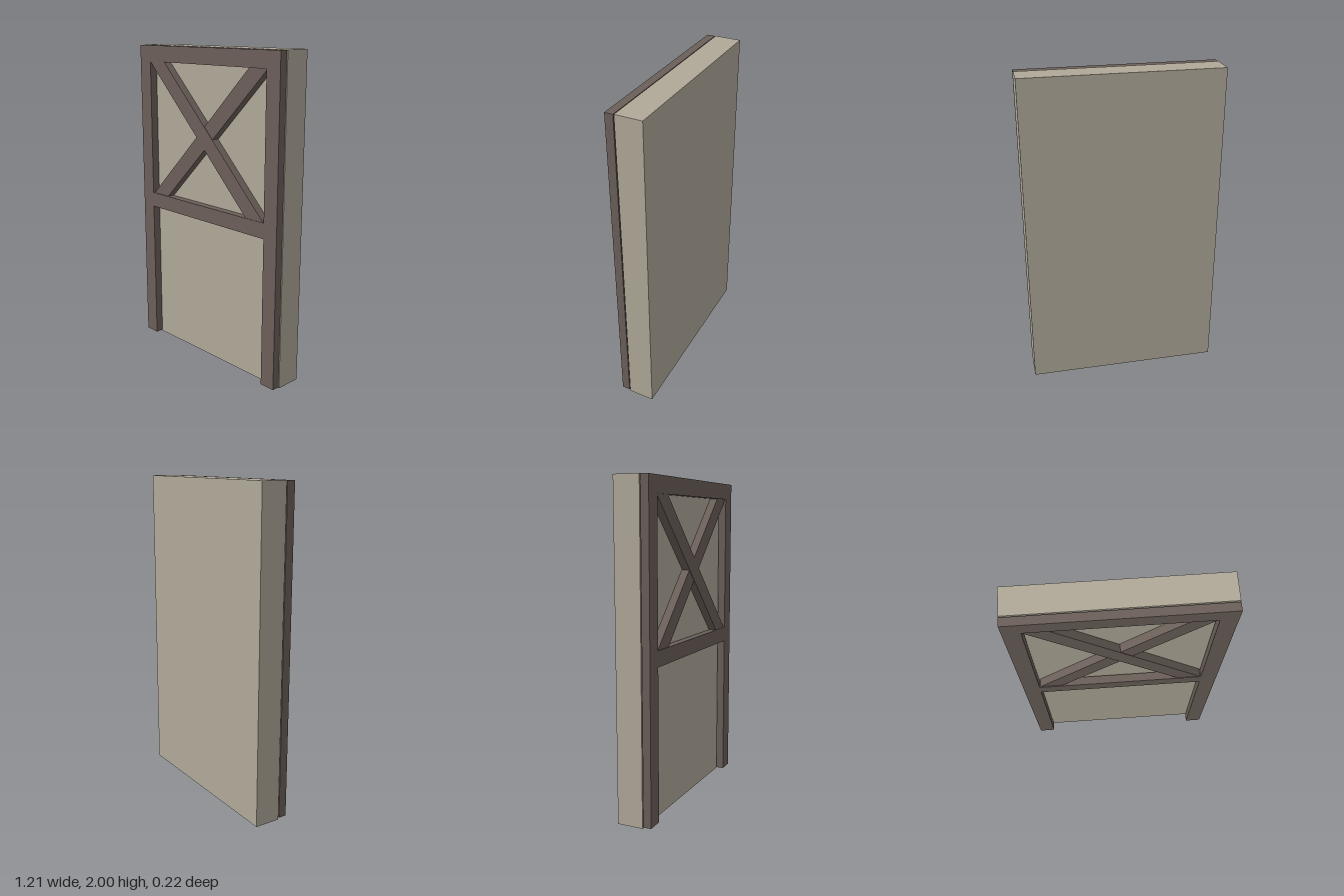
import * as THREE from 'three';

export function createModel() {
  const group = new THREE.Group();
  const plaster = new THREE.MeshStandardMaterial({ color: 0xb0a999 });
  plaster.name = 'plaster';
  const timber = new THREE.MeshStandardMaterial({ color: 0x6b5f59 });
  timber.name = 'darkTimber';

  // Box given by its size and centre
  const addBox = (name, material, [w, h, d], [x, y, z], tilt = 0) => {
    const mesh = new THREE.Mesh(new THREE.BoxGeometry(w, h, d), material);
    mesh.name = name;
    mesh.position.set(x, y, z);
    mesh.rotation.z = tilt;
    group.add(mesh);
  };

  const width = 1.21, beam = 0.1, depth = 0.05, frameZ = 0.084;

  // Wall slab
  addBox('wallPanel', plaster, [width, 2, 0.162], [0, 1, -0.028]);

  // Frame standing just off the wall
  addBox('topBeam', timber, [width, beam, depth], [0, 1.948, frameZ]);
  addBox('middleBeam', timber, [width - 2 * beam, 0.095, depth], [0, 0.984, frameZ]);
  for (const [name, side] of [['leftPost', 1], ['rightPost', -1]]) {
    addBox(name, timber, [beam, 1.888, depth], [side * (width - beam) / 2, 0.954, frameZ]);
  }

  // Crossed braces, set slightly behind the frame face
  const braceLength = 1.357;
  addBox('frontBrace', timber, [braceLength, beam, depth], [0, 1.459, frameZ - 0.003], -Math.PI / 4);
  addBox('rearBrace', timber, [braceLength, beam, depth], [0, 1.459, frameZ - 0.006], Math.PI / 4);

  return group;
}
